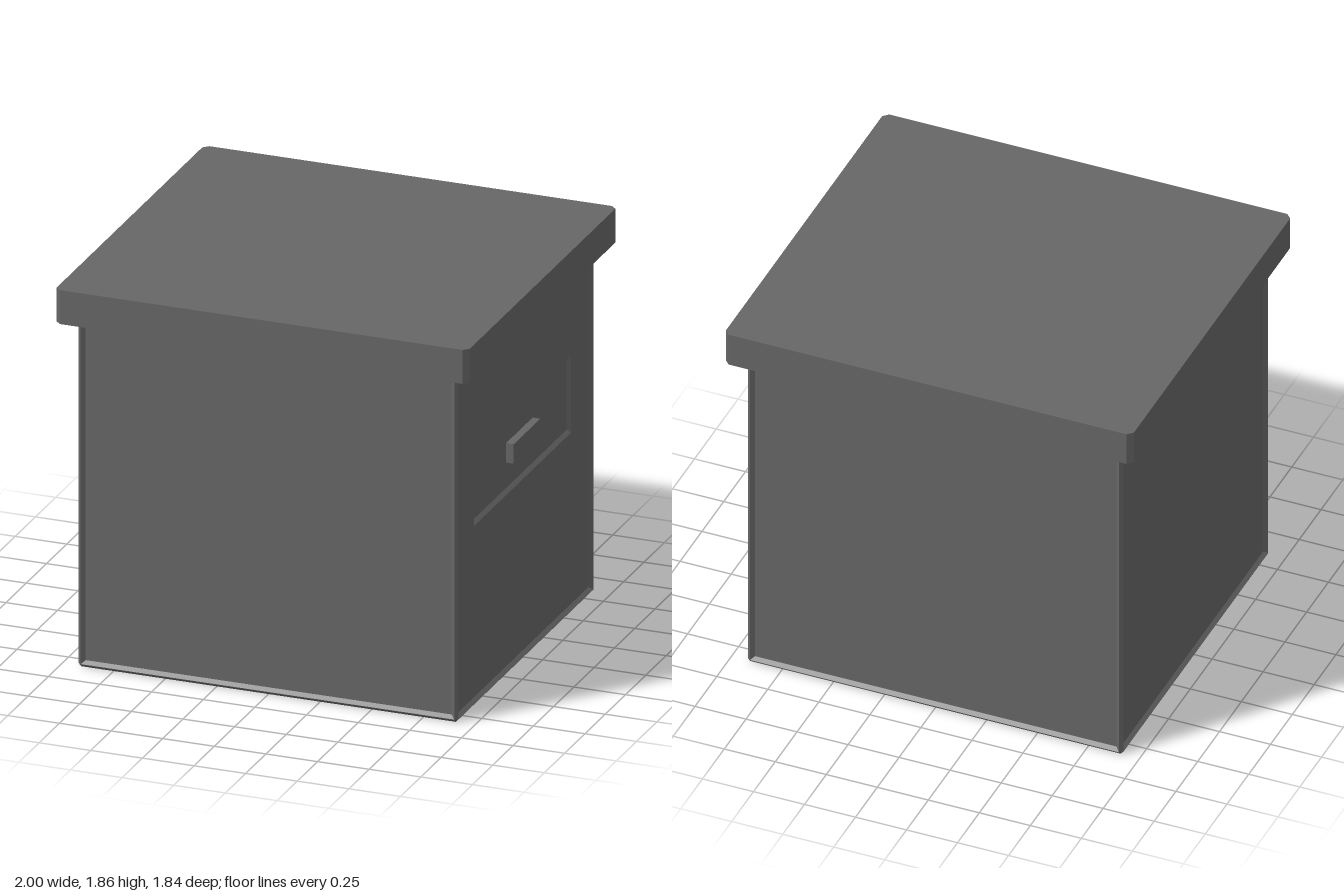
import * as THREE from 'three';

const HX = 0.92, HZ = 0.845, H = 1.69, C = 0.014; // body half sizes, height, edge chamfer

// Flat geometry from a list of 3- or 4-cornered faces (counter-clockwise)
function facesGeometry(faces) {
  const pos = [];
  for (const f of faces)
    for (let i = 1; i < f.length - 1; i++) pos.push(...f[0], ...f[i], ...f[i + 1]);
  const g = new THREE.BufferGeometry();
  g.setAttribute('position', new THREE.Float32BufferAttribute(pos, 3));
  g.computeVertexNormals();
  return g;
}

// Nested rectangles [halfWidth, y0, y1, z] joined by rings, the innermost filled
function nestedFaces(rects) {
  const loops = rects.map(([u, y0, y1, z]) => [[-u, y0, z], [u, y0, z], [u, y1, z], [-u, y1, z]]);
  const faces = [];
  for (let k = 0; k < loops.length - 1; k++)
    for (let i = 0; i < 4; i++) {
      const j = (i + 1) % 4, a = loops[k], b = loops[k + 1];
      faces.push([a[i], a[j], b[j], b[i]]);
    }
  faces.push(loops[loops.length - 1]);
  return faces;
}

// One wall facing +z: raised rim, sunken panel, bottom chamfer and one corner chamfer
function wallGeometry(W, D, extraRects = []) {
  const w = W - C, d = D - C;
  const faces = nestedFaces([
    [w, C, H, D],
    [W - 0.016, 0.016, H - 0.008, D],
    [W - 0.034, 0.032, H - 0.02, D - 0.016],
    ...extraRects,
  ]);
  faces.push([[-w, 0, d], [w, 0, d], [w, C, D], [-w, C, D]]);
  faces.push([[w, C, D], [W, C, d], [W, H, d], [w, H, D]]);
  faces.push([[w, 0, d], [W, C, d], [w, C, D]]);
  return facesGeometry(faces);
}

export function createModel() {
  const model = new THREE.Group();
  model.name = 'liddedBox';
  const grey = new THREE.MeshStandardMaterial({ color: 0x666666 });
  grey.name = 'grey';

  const add = (name, geometry) => {
    const mesh = new THREE.Mesh(geometry, grey);
    mesh.name = name;
    model.add(mesh);
    return mesh;
  };

  // Four walls; the one facing +x carries the sunken drawer front
  const drawer = [
    [0.598, 0.865, 1.243, HX - 0.016],
    [0.583, 0.882, 1.226, HX - 0.032],
  ];
  ['frontWall', 'drawerWall', 'backWall', 'plainSideWall'].forEach((name, k) => {
    const g = k % 2 ? wallGeometry(HZ, HX, k === 1 ? drawer : []) : wallGeometry(HX, HZ);
    add(name, g).rotation.y = k * Math.PI / 2;
  });

  // Underside of the body
  const base = add('base', new THREE.PlaneGeometry(2 * (HX - C), 2 * (HZ - C)));
  base.rotation.x = Math.PI / 2;

  // Drawer handle
  const handle = add('handle', new THREE.BoxGeometry(0.045, 0.095, 0.328));
  handle.position.set(0.9025, 1.053, 0);

  // Lid slab with clipped vertical corners
  const x = 1, z = 0.922, c = 0.025;
  const outline = new THREE.Shape([
    [x - c, -z], [x, -z + c], [x, z - c], [x - c, z],
    [-x + c, z], [-x, z - c], [-x, -z + c], [-x + c, -z],
  ].map(([a, b]) => new THREE.Vector2(a, b)));
  const lid = add('lid', new THREE.ExtrudeGeometry(outline, { depth: 0.165, bevelEnabled: false }));
  lid.rotation.x = -Math.PI / 2;
  lid.position.y = H;

  return model;
}
